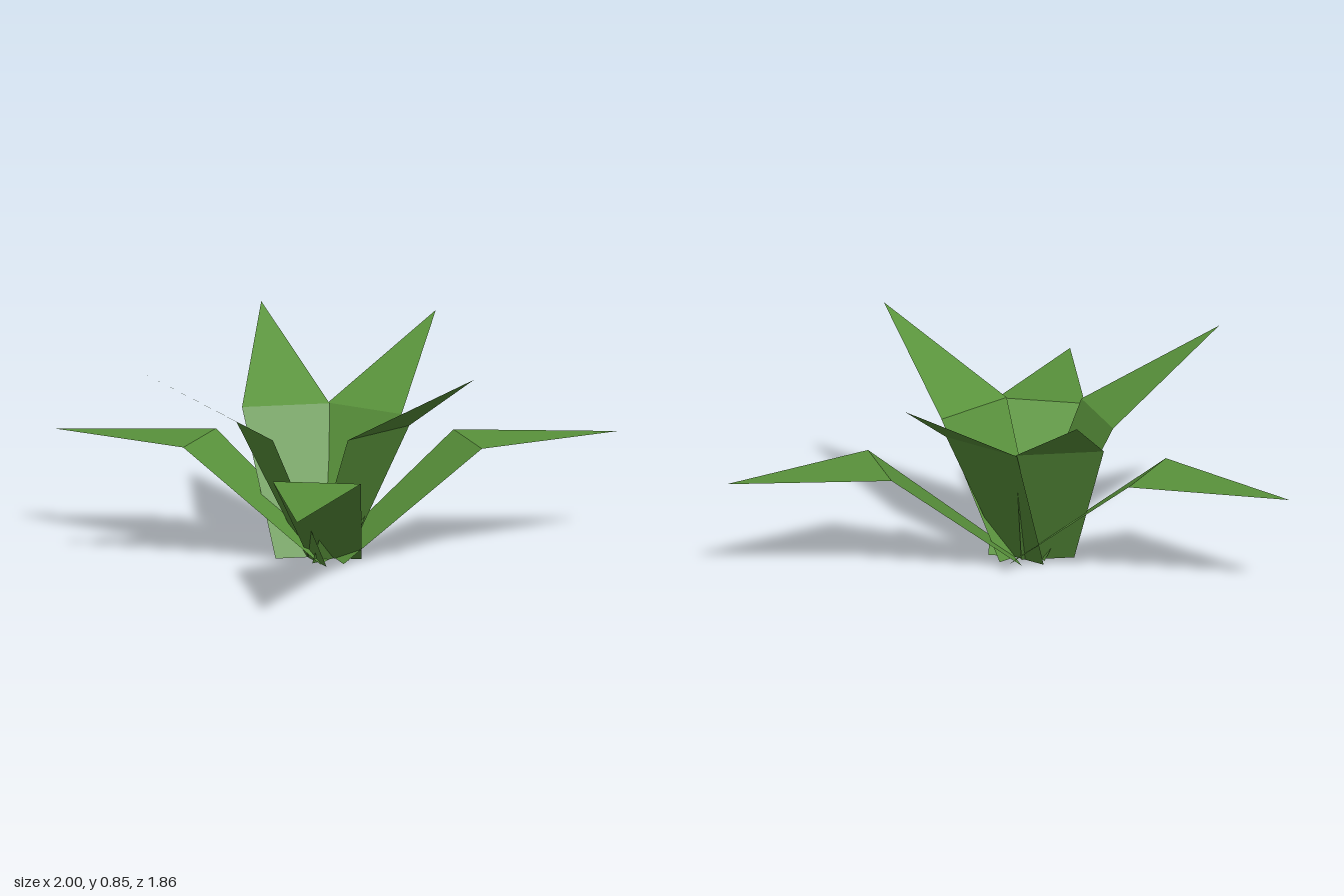
import * as THREE from 'three';

const leafGreen = new THREE.MeshStandardMaterial({ color: 0x59923b, side: THREE.DoubleSide, flatShading: true });
leafGreen.name = 'leafGreen';

const BASE_HALF = 0.105;
const BEND_HALF = 0.175;

// One folded leaf: a tapering lower blade and a pointed tip.
// base, bend and tip are [x, z] points on the leaf's centre line.
function makeLeaf(name, base, bend, tip, bendY, tipY) {
  const along = new THREE.Vector2(tip[0] - bend[0], tip[1] - bend[1]).normalize();
  const edge = ([x, z], y, offset) => [x - along.y * offset, y, z + along.x * offset];

  const baseL = edge(base, 0, -BASE_HALF), baseR = edge(base, 0, BASE_HALF);
  const bendL = edge(bend, bendY, -BEND_HALF), bendR = edge(bend, bendY, BEND_HALF);
  const point = edge(tip, tipY, 0);

  const faces = [
    baseL, baseR, bendR, baseL, bendR, bendL, // lower blade
    bendL, bendR, point, // tip
  ];
  const geometry = new THREE.BufferGeometry();
  geometry.setAttribute('position', new THREE.Float32BufferAttribute(faces.flat(), 3));
  geometry.computeVertexNormals();
  const mesh = new THREE.Mesh(geometry, leafGreen);
  mesh.name = name;
  return mesh;
}

export function createModel() {
  const plant = new THREE.Group();
  plant.name = 'leafyPlant';

  // Upright leaves
  const upright = [
    ['uprightLeafFront', [-0.06, 0.155], [-0.055, 0.41], [-0.055, 0.93]],
    ['uprightLeafLeft', [-0.045, 0.12], [0.21, 0.082], [0.70, 0.0]],
    ['uprightLeafRight', [-0.13, 0.14], [-0.37, 0.038], [-0.845, -0.155]],
    ['uprightLeafBack', [-0.12, 0.055], [0.035, -0.18], [0.335, -0.60]],
  ];
  for (const [name, base, bend, tip] of upright) plant.add(makeLeaf(name, base, bend, tip, 0.55, 0.85));

  // Low spreading leaves
  const spreading = [
    ['spreadingLeafRight', [-0.04, 0.16], [-0.50, 0.50], [-1.0, 0.87]],
    ['spreadingLeafLeft', [-0.04, 0.16], [0.447, 0.415], [1.0, 0.705]],
    ['spreadingLeafBack', [-0.058, 0.15], [-0.267, -0.36], [-0.50, -0.93]],
  ];
  for (const [name, base, bend, tip] of spreading) plant.add(makeLeaf(name, base, bend, tip, 0.44, 0.425));

  return plant;
}
